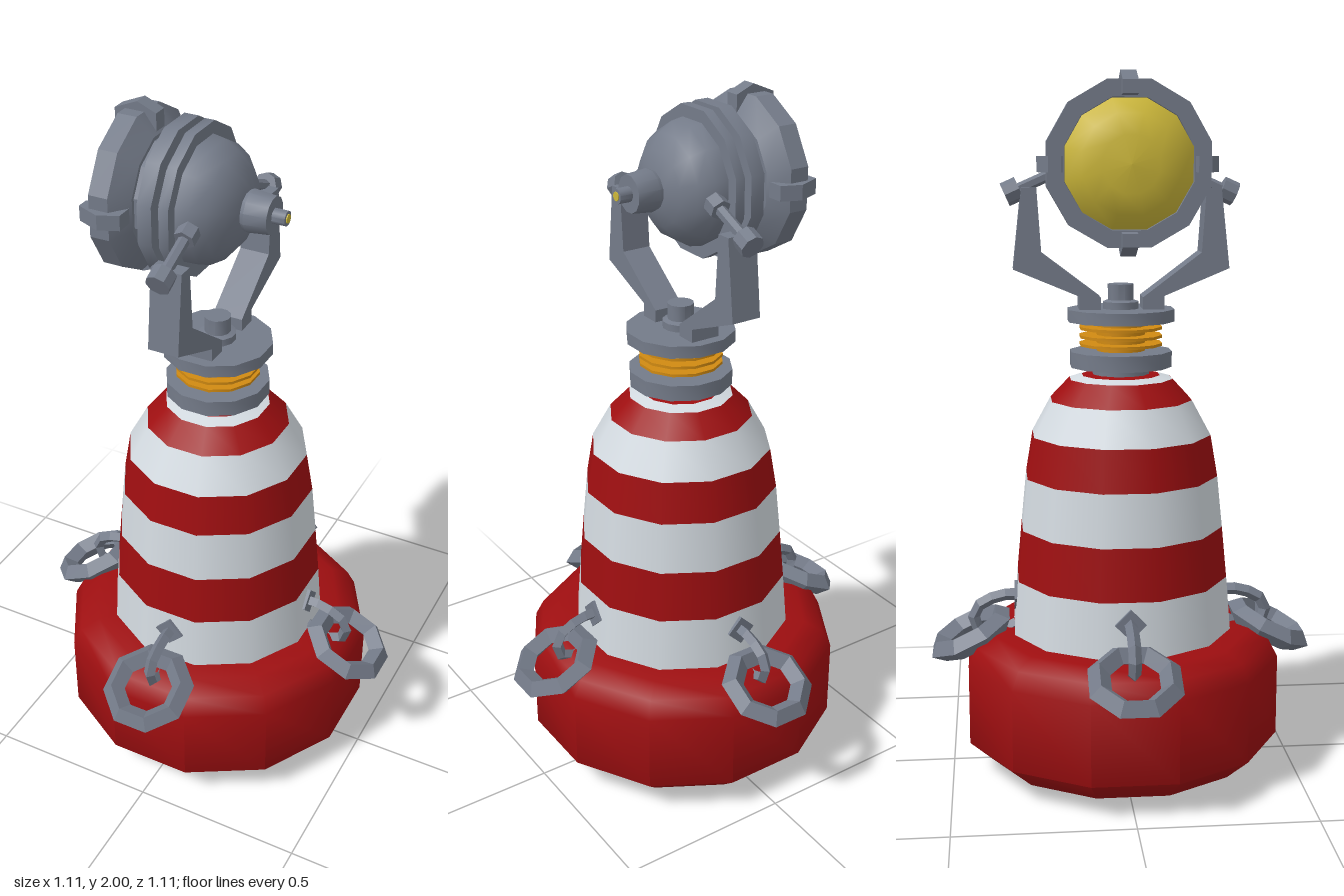
import * as THREE from 'three';
import { toCreasedNormals } from 'three/addons/utils/BufferGeometryUtils.js';

const SIDES = 12;
const FIT = 1 / Math.cos(Math.PI / SIDES); // flat-to-flat radius -> corner radius

const paint = (name, color) => {
  const m = new THREE.MeshStandardMaterial({ color });
  m.name = name;
  return m;
};

function add(parent, name, geometry, material, x = 0, y = 0, z = 0) {
  const mesh = new THREE.Mesh(geometry, material);
  mesh.name = name;
  mesh.position.set(x, y, z);
  parent.add(mesh);
  return mesh;
}

// Twelve-sided turned part; profile is [radius, height] from bottom to top
function turned(profile, crease = 0.65) {
  const pts = profile.map(([r, h]) => new THREE.Vector2(r * FIT, h));
  const g = new THREE.LatheGeometry(pts, SIDES, Math.PI / SIDES, Math.PI * 2);
  return crease ? toCreasedNormals(g, crease) : g;
}

const flat = (g) => toCreasedNormals(g, 0.05);

// Extruded polygon, centred on its thickness
function plate(points, depth) {
  const shape = new THREE.Shape(points.map(([a, b]) => new THREE.Vector2(a, b)));
  const g = new THREE.ExtrudeGeometry(shape, { depth, bevelEnabled: false });
  return g.translate(0, 0, -depth / 2);
}

const disc = (r, y0, y1) => turned([[0, y0], [r, y0], [r, y1], [0, y1]]);

// Cylinder running between two points
function rod(parent, name, a, b, radius, sides, material) {
  const dir = b.clone().sub(a);
  const mesh = add(parent, name, flat(new THREE.CylinderGeometry(radius, radius, dir.length(), sides)), material);
  mesh.position.copy(a).add(b).multiplyScalar(0.5);
  mesh.quaternion.setFromUnitVectors(new THREE.Vector3(0, 1, 0), dir.normalize());
}

export function createModel() {
  const red = paint('buoy red', 0x9e0e10);
  const white = paint('buoy white', 0xd3dae0);
  const grey = paint('steel grey', 0x747b89);
  const amber = paint('amber', 0xd08a12);
  const yellow = paint('lamp yellow', 0xcdb83a);

  const model = new THREE.Group();
  model.name = 'lightBuoy';

  // Float
  add(model, 'float', turned([
    [0, 0], [0.24, 0], [0.38, 0.035], [0.45, 0.1], [0.45, 0.335], [0.425, 0.385], [0.37, 0.412], [0.28, 0.412],
  ], 0.9), red);

  // Striped tower, one band per colour
  const tower = [[0.315, 0.41], [0.302, 0.57], [0.288, 0.72], [0.273, 0.87], [0.253, 0.99],
    [0.2, 1.09], [0.145, 1.15], [0.11, 1.16], [0.06, 1.165]];
  for (let i = 0; i < tower.length - 1; i++) {
    add(model, 'towerBand' + i, turned([tower[i], tower[i + 1]], 0), i % 2 ? red : white);
  }

  // Swivel: flanges with a finned amber core
  add(model, 'neck', disc(0.08, 1.155, 1.19), grey);
  add(model, 'lowerFlange', disc(0.143, 1.185, 1.23), grey);
  add(model, 'core', disc(0.068, 1.225, 1.32), amber);
  for (const y of [1.249, 1.272, 1.296]) add(model, 'coreFin', disc(0.116, y - 0.004, y + 0.004), amber);
  add(model, 'upperFlange', disc(0.15, 1.315, 1.35), grey);
  add(model, 'hub', turned([[0.05, 1.345], [0.05, 1.37], [0.036, 1.375], [0.036, 1.42], [0, 1.42]]), grey);

  // Yoke: two mirrored arms with pivots
  const LAMP_Y = 1.755;
  const arm = [[0.06, 1.345], [0.12, 1.345], [0.12, 1.388], [0.305, 1.465], [0.28, 1.69],
    [0.238, 1.69], [0.226, 1.51], [0.1, 1.415], [0.06, 1.385]];
  for (let k = 0; k < 2; k++) {
    const side = new THREE.Group();
    side.name = 'yokeArm';
    side.rotation.y = k * Math.PI;
    model.add(side);
    add(side, 'arm', plate(arm, 0.088).rotateY(-Math.PI / 2), grey);
    const at = (z, y) => new THREE.Vector3(0, y, z);
    rod(side, 'pivotRod', at(0.3, 1.68), at(0.13, 1.755), 0.016, 6, grey);
    rod(side, 'pivotKnob', at(0.325, 1.67), at(0.285, 1.688), 0.034, 8, grey);
    rod(side, 'pivotCollar', at(0.185, 1.731), at(0.15, 1.746), 0.03, 6, grey);
  }

  // Searchlight, turned about the x axis
  const lamp = new THREE.Group();
  lamp.name = 'searchlight';
  lamp.position.y = LAMP_Y;
  model.add(lamp);
  const onX = (g) => g.rotateZ(-Math.PI / 2);
  add(lamp, 'lens', onX(turned([[0, -0.325], [0.075, -0.318], [0.13, -0.3], [0.172, -0.25]], 0)), yellow);
  add(lamp, 'bezel', onX(turned([
    [0.168, -0.245], [0.172, -0.256], [0.218, -0.256], [0.218, -0.2], [0.165, -0.16], [0.155, -0.16], [0.155, -0.12],
  ], 0.5)), grey);
  add(lamp, 'housing', onX(turned([
    [0.155, -0.124], [0.203, -0.124], [0.203, -0.083], [0.165, -0.083], [0.165, -0.064], [0.2, -0.064],
    [0.2, -0.036], [0.167, -0.036], [0.161, 0], [0.138, 0.04], [0.1, 0.072], [0.05, 0.09], [0, 0.095],
  ])), grey);
  add(lamp, 'rearCap', onX(turned([
    [0.048, 0.08], [0.056, 0.1], [0.05, 0.163], [0.02, 0.163], [0.02, 0.2], [0, 0.2],
  ])), grey);
  add(lamp, 'rearTip', onX(disc(0.012, 0.198, 0.203)), yellow);

  // Clips around the bezel
  const clip = [[-0.287, 0.18], [-0.165, 0.165], [-0.165, 0.22], [-0.22, 0.243], [-0.287, 0.215]];
  for (let k = 0; k < 4; k++) {
    add(lamp, 'bezelClip', plate(clip, 0.042), grey).rotation.x = k * Math.PI / 2;
  }

  // Mooring rings hung from hooks on the tower
  const hookPath = new THREE.CatmullRomCurve3([[0.3, 0.51], [0.365, 0.505], [0.43, 0.465], [0.425, 0.41],
    [0.375, 0.39], [0.31, 0.42]].map(([x, y]) => new THREE.Vector3(x, y, 0)));
  for (let k = 0; k < 4; k++) {
    const mooring = new THREE.Group();
    mooring.name = 'mooring';
    mooring.rotation.y = k * Math.PI / 2;
    model.add(mooring);
    add(mooring, 'hookPlate', new THREE.BoxGeometry(0.016, 0.062, 0.062).rotateX(Math.PI / 4), grey, 0.306, 0.508);
    add(mooring, 'hook', flat(new THREE.TubeGeometry(hookPath, 8, 0.018, 4)), grey);
    const ring = new THREE.TorusGeometry(0.104, 0.033, 4, 8).rotateZ(Math.PI / 8).rotateX(Math.PI / 2).rotateZ(-0.455);
    add(mooring, 'mooringRing', flat(ring), grey, 0.443, 0.395);
  }
  return model;
}
